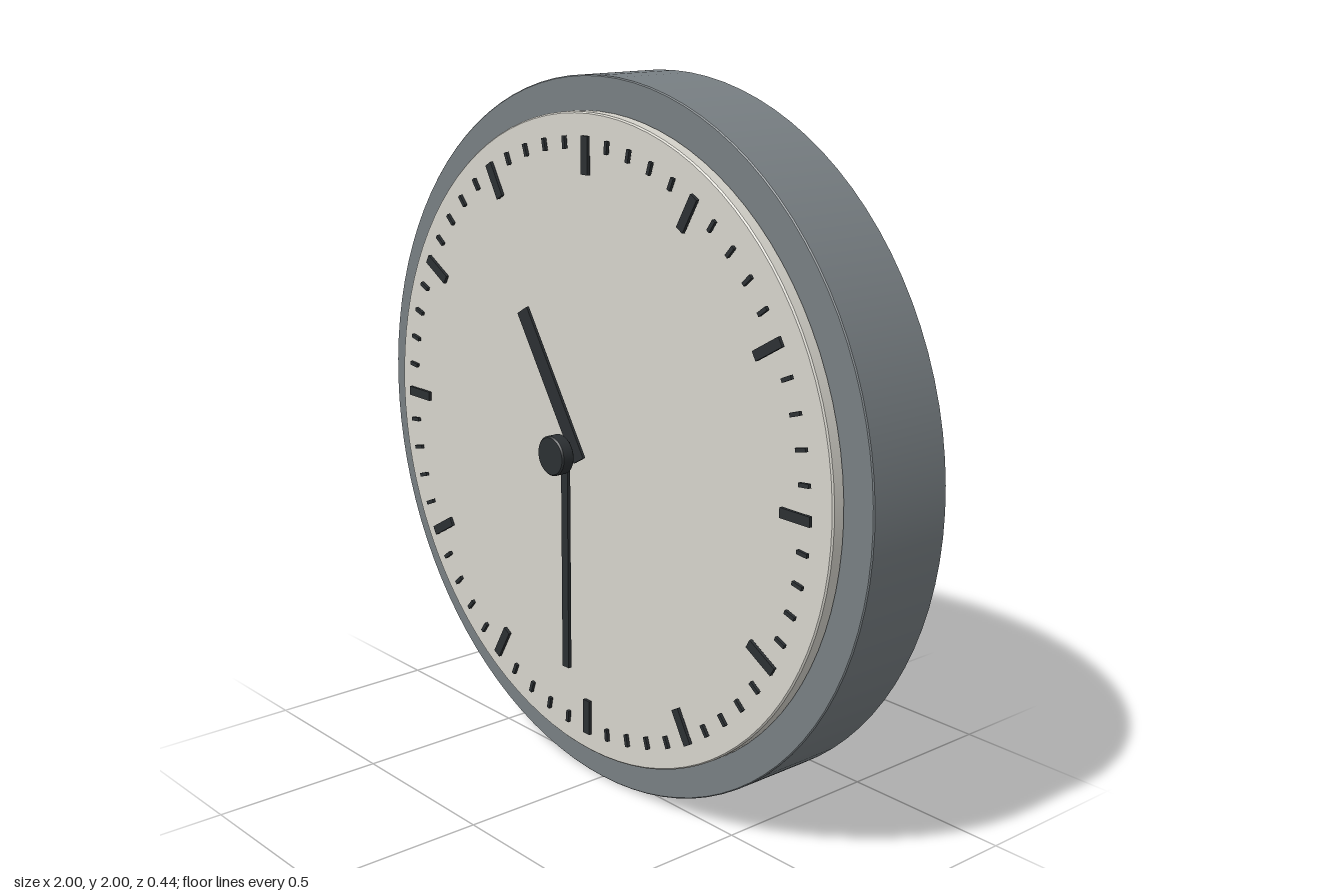
import * as THREE from 'three';

const paint = (color) => new THREE.MeshStandardMaterial({ color });
const caseMat = paint(0x787f83);
const dialMat = paint(0xd6d4cc);
const darkMat = paint(0x2c3033);

// Lathed disc facing +z, with slightly bevelled, creased edges.
function disc(name, radius, z0, z1, bevel, material, segments = 96) {
  const r = radius - bevel;
  const corners = [[0, z0], [r, z0], [radius, z0 + bevel], [radius, z1 - bevel], [r, z1], [0, z1]];
  const group = new THREE.Group();
  group.name = name;
  // each profile segment is its own lathe so edges stay sharp
  for (let i = 0; i < corners.length - 1; i++) {
    const pts = [corners[i], corners[i + 1]].map(([a, b]) => new THREE.Vector2(a, b));
    const mesh = new THREE.Mesh(new THREE.LatheGeometry(pts, segments).rotateX(Math.PI / 2), material);
    mesh.name = name + 'Surface';
    group.add(mesh);
  }
  return group;
}

// Flat bar running along y from y0 to y1, centred on z = 0.
function bar(name, width, y0, y1, depth) {
  const geometry = new THREE.BoxGeometry(width, y1 - y0, depth).translate(0, (y0 + y1) / 2, 0);
  const mesh = new THREE.Mesh(geometry, darkMat);
  mesh.name = name;
  return mesh;
}

export function createModel() {
  const clock = new THREE.Group();
  clock.name = 'wallClock';
  const body = new THREE.Group();
  body.name = 'clockBody';
  body.position.y = 1;
  clock.add(body);

  // Case and raised dial
  body.add(disc('case', 1, -0.22, 0.04, 0.003, caseMat));
  body.add(disc('dial', 0.907, 0.04, 0.08, 0.004, dialMat));

  // Sixty marks, longer and wider on the hours
  const marks = new THREE.Group();
  marks.name = 'dialMarks';
  marks.position.z = 0.094;
  for (let i = 0; i < 60; i++) {
    const mark = i % 5 === 0
      ? bar('hourMark', 0.027, 0.745, 0.847, 0.009)
      : bar('minuteMark', 0.011, 0.81, 0.845, 0.009);
    mark.rotation.z = -i * Math.PI / 30;
    marks.add(mark);
  }
  body.add(marks);

  // Hour hand, leaning slightly forward towards its tip
  const hourHand = bar('hourHand', 0.048, -0.03, 0.415, 0.008);
  hourHand.rotation.order = 'ZXY';
  hourHand.rotation.set(0.035, 0, Math.PI / 6);
  hourHand.position.z = 0.132;
  body.add(hourHand);

  // Minute hand, pointing down
  const minuteHand = bar('minuteHand', 0.027, -0.03, 0.625, 0.01);
  minuteHand.rotation.z = Math.PI;
  minuteHand.position.set(-0.005, 0, 0.163);
  body.add(minuteHand);

  // Centre cap
  body.add(disc('centreCap', 0.055, 0.18, 0.22, 0.004, darkMat, 48));

  return clock;
}
